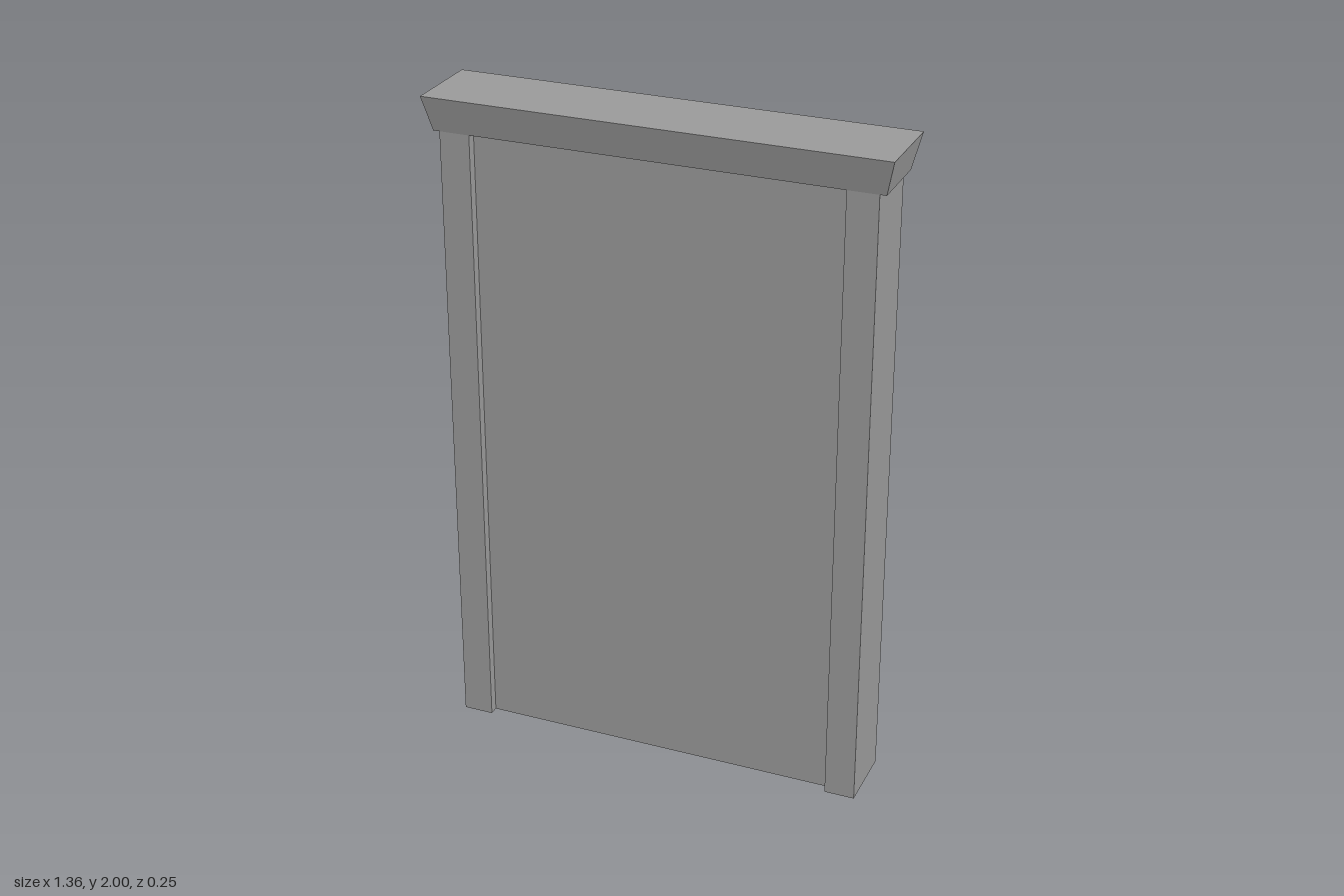
import * as THREE from 'three';

const material = new THREE.MeshStandardMaterial({ color: 0x9a9a9a, flatShading: true });

// Box given by its minimum and maximum corners
function box(name, [x0, y0, z0], [x1, y1, z1]) {
  const geometry = new THREE.BoxGeometry(x1 - x0, y1 - y0, z1 - z0);
  geometry.translate((x0 + x1) / 2, (y0 + y1) / 2, (z0 + z1) / 2);
  const mesh = new THREE.Mesh(geometry, material);
  mesh.name = name;
  return mesh;
}

export function createModel() {
  const group = new THREE.Group();
  group.name = 'panelledFrame';

  const capBottom = 1.897, postOuter = 0.639, postInner = 0.548, halfDepth = 0.104;

  // Side posts
  group.add(box('leftPost', [postInner, 0, -halfDepth], [postOuter, capBottom, halfDepth]));
  group.add(box('rightPost', [-postOuter, 0, -halfDepth], [-postInner, capBottom, halfDepth]));

  // Thin panel, set slightly back from the front
  group.add(box('panel', [-postInner, 0, 0.045], [postInner, 1.895, 0.076]));

  // Cap that flares outwards towards its top
  const cap = box('cap', [-0.682, capBottom, -0.127], [0.682, 2, 0.127]);
  const p = cap.geometry.attributes.position;
  for (let i = 0; i < p.count; i++) {
    if (p.getY(i) < 1.95) {
      p.setX(i, Math.sign(p.getX(i)) * 0.658);
      p.setZ(i, Math.sign(p.getZ(i)) * halfDepth);
    }
  }
  cap.geometry.computeVertexNormals();
  group.add(cap);

  return group;
}
